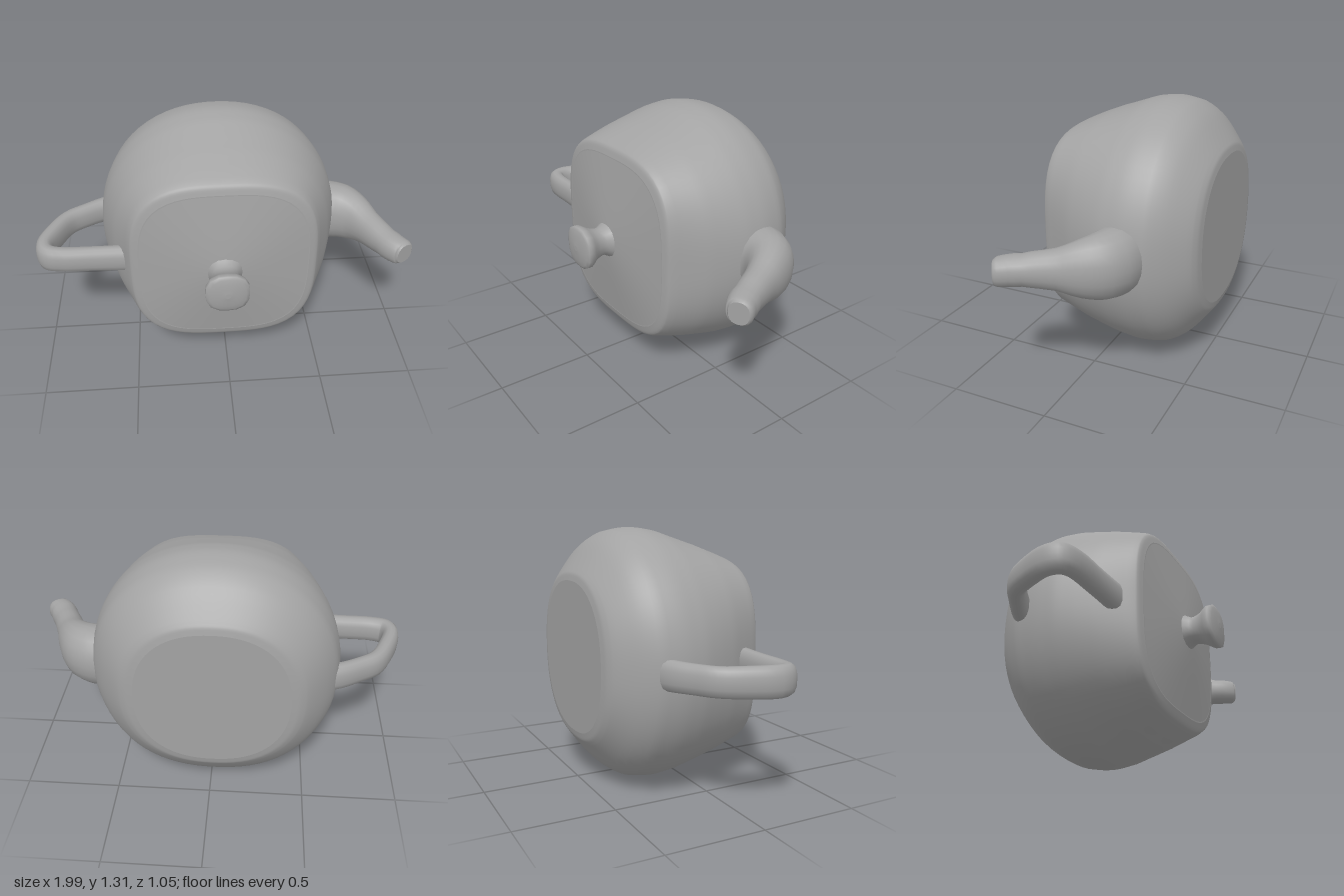
import * as THREE from 'three';

const MID_Y = 0.66; // height of the pot's axis

// Skin through rounded cross-sections: [x, z, half width, half height, squareness]
function loft(sections, steps, sides, fixedTangent) {
  const spine = new THREE.CatmullRomCurve3(sections.map(s => new THREE.Vector3(s[0], MID_Y, s[1])));
  const size = new THREE.CatmullRomCurve3(sections.map(s => new THREE.Vector3(s[2], s[3], s[4])));
  const up = new THREE.Vector3(0, 1, 0);
  const pos = [], index = [];
  const rings = (sections.length - 1) * steps;
  for (let r = 0; r <= rings; r++) {
    const t = r / rings;
    const c = spine.getPoint(t), h = size.getPoint(t);
    const across = new THREE.Vector3().crossVectors(up, fixedTangent || spine.getTangent(t)).normalize();
    for (let i = 0; i < sides; i++) {
      const a = (i / sides) * Math.PI * 2;
      const ca = Math.cos(a), sa = Math.sin(a);
      const k = Math.pow(Math.abs(ca) ** h.z + Math.abs(sa) ** h.z, -1 / h.z);
      const p = c.clone().addScaledVector(across, k * ca * h.x).addScaledVector(up, k * sa * h.y);
      pos.push(p.x, p.y, p.z);
    }
  }
  for (let r = 0; r < rings; r++) {
    for (let i = 0; i < sides; i++) {
      const j = (i + 1) % sides;
      const a = r * sides + i, b = r * sides + j;
      index.push(a, b, b + sides, a, b + sides, a + sides);
    }
  }
  // End caps with their own vertices, so the rims stay crisp
  for (const [r, flip] of [[0, true], [rings, false]]) {
    const first = pos.length / 3;
    const c = spine.getPoint(r / rings);
    pos.push(c.x, c.y, c.z);
    for (let i = 0; i < sides; i++) {
      const o = (r * sides + i) * 3;
      pos.push(pos[o], pos[o + 1], pos[o + 2]);
    }
    for (let i = 0; i < sides; i++) {
      const a = first + 1 + i, b = first + 1 + (i + 1) % sides;
      if (flip) index.push(first, b, a);
      else index.push(first, a, b);
    }
  }
  const g = new THREE.BufferGeometry();
  g.setAttribute('position', new THREE.Float32BufferAttribute(pos, 3));
  g.setIndex(index);
  g.computeVertexNormals();
  return g;
}

export function createModel() {
  const group = new THREE.Group();
  const clay = new THREE.MeshStandardMaterial({ color: 0xa3a3a3 });
  clay.name = 'grey clay';
  const add = (name, geometry) => {
    const mesh = new THREE.Mesh(geometry, clay);
    mesh.name = name;
    group.add(mesh);
  };
  const forward = new THREE.Vector3(0, 0, 1);
  const CX = -0.015;

  // Pot body: flat round base at the back, bulging belly, squarer shoulder at the front
  const body = [
    [-0.523, 0.39, 0.39, 2.3], [-0.515, 0.43, 0.425, 2.3], [-0.495, 0.47, 0.455, 2.3],
    [-0.4, 0.565, 0.575, 2.25], [-0.31, 0.625, 0.637, 2.15], [-0.2, 0.645, 0.655, 2.12],
    [-0.1, 0.64, 0.642, 2.15], [0, 0.612, 0.607, 2.3], [0.1, 0.575, 0.572, 2.5],
    [0.2, 0.525, 0.532, 2.8], [0.268, 0.49, 0.5, 3.1], [0.288, 0.472, 0.48, 3.2],
    [0.298, 0.44, 0.445, 3.2],
  ].map(([z, w, h, n]) => [CX, z, w, h, n]);
  add('body', loft(body, 4, 72, forward));

  // Shallow conical lid closing the front
  const lid = [
    [0.297, 0.442, 0.447, 3.2], [0.318, 0.3, 0.3, 2.7], [0.337, 0.16, 0.16, 2.2], [0.348, 0.06, 0.06, 2],
  ].map(([z, w, h, n]) => [CX, z, w, h, n]);
  add('lid', loft(lid, 3, 72, forward));

  // Waisted lid knob with a flared, slightly domed end
  const knob = [
    [0.33, 0.1, 0.1, 2.2], [0.355, 0.082, 0.082, 2.4], [0.4, 0.07, 0.07, 2.6], [0.44, 0.083, 0.084, 2.6],
    [0.48, 0.112, 0.108, 2.6], [0.505, 0.11, 0.11, 2.6], [0.518, 0.07, 0.07, 2.4], [0.524, 0.015, 0.015, 2],
  ].map(([z, w, h, n]) => [CX, z, w, h, n]);
  add('lidKnob', loft(knob, 2, 16, forward));

  // Spout: broad root on the left side, bending forward to a narrow tip
  add('spout', loft([
    [0.54, -0.18, 0.14, 0.165, 2.2], [0.62, -0.175, 0.138, 0.165, 2.2], [0.69, -0.145, 0.128, 0.16, 2.2],
    [0.755, -0.075, 0.1, 0.138, 2.2], [0.805, 0.02, 0.08, 0.1, 2.2], [0.855, 0.125, 0.073, 0.083, 2.2],
    [0.905, 0.215, 0.07, 0.072, 2.4], [0.935, 0.25, 0.063, 0.067, 2.4], [0.943, 0.265, 0.05, 0.055, 2.4],
  ], 3, 20));

  // Handle: flattened strap looping round the right side
  add('handle', loft([
    [-0.54, -0.3, 0.05, 0.078, 2.8], [-0.65, -0.275, 0.046, 0.073, 2.8], [-0.76, -0.217, 0.043, 0.07, 2.8],
    [-0.85, -0.155, 0.044, 0.07, 2.8], [-0.915, -0.04, 0.045, 0.073, 2.8], [-0.954, 0.08, 0.045, 0.075, 2.8],
    [-0.935, 0.142, 0.046, 0.073, 2.8], [-0.87, 0.167, 0.044, 0.07, 2.8], [-0.7, 0.174, 0.043, 0.07, 2.8],
    [-0.48, 0.18, 0.045, 0.075, 2.8],
  ], 4, 16));

  return group;
}
